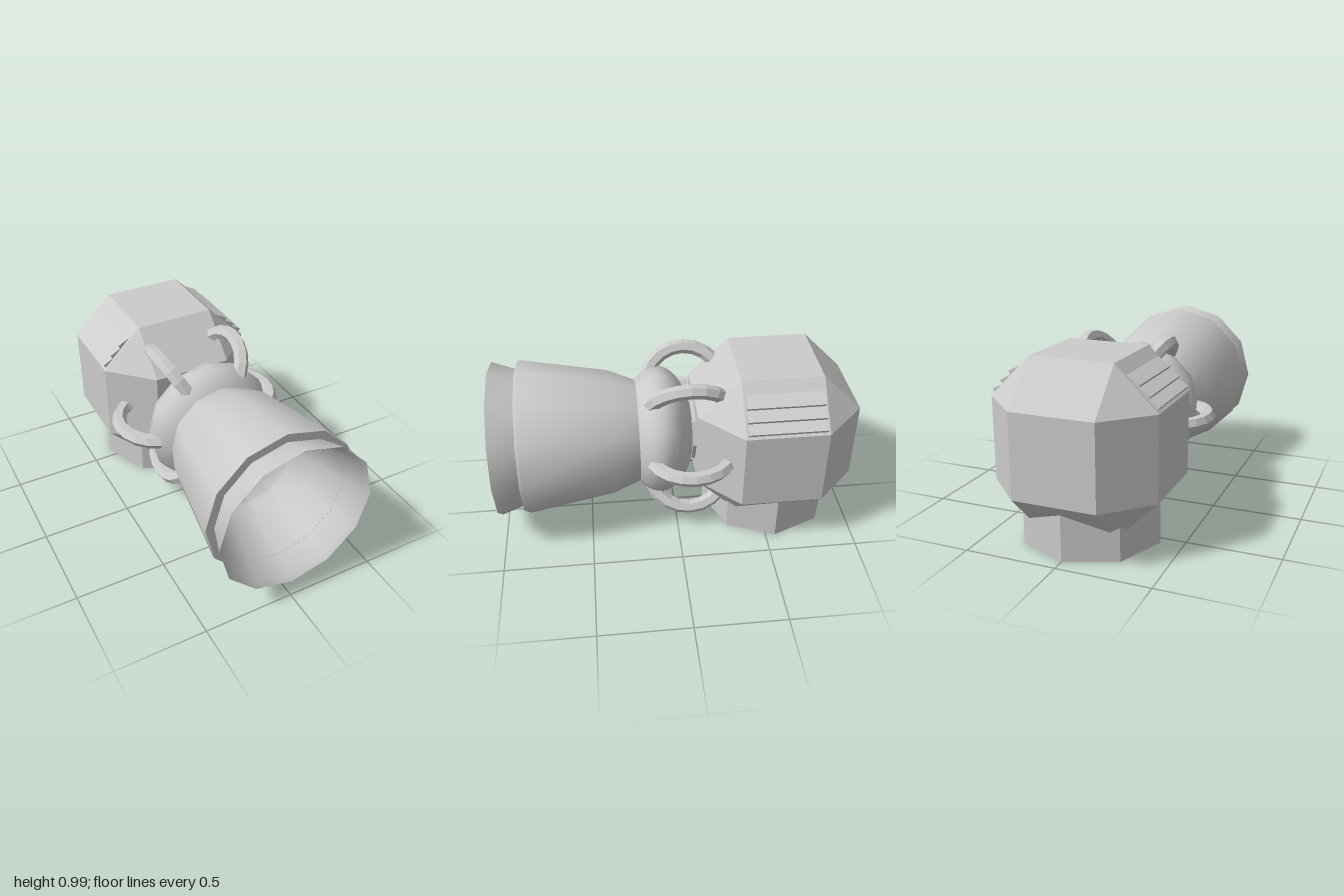
import * as THREE from 'three';
import { toCreasedNormals } from 'three/addons/utils/BufferGeometryUtils.js';
import { ConvexGeometry } from 'three/addons/geometries/ConvexGeometry.js';

const AXIS_Y = 0.54;   // height of the nozzle axis
const BODY_Z = -0.555; // centre of the housing

export function createModel() {
  const model = new THREE.Group();
  const smooth = new THREE.MeshStandardMaterial({ color: 0xcccccc, side: THREE.DoubleSide });
  const flat = new THREE.MeshStandardMaterial({ color: 0xcccccc, flatShading: true });

  const add = (name, geometry, material, parent = model) => {
    const mesh = new THREE.Mesh(geometry, material);
    mesh.name = name;
    parent.add(mesh);
    return mesh;
  };

  // Twelve-sided turned part along z; profile is [radius, z]
  const turned = (name, profile) => {
    const points = profile.map(([r, z]) => new THREE.Vector2(r, z));
    const geometry = new THREE.LatheGeometry(points, 12).rotateX(Math.PI / 2);
    add(name, toCreasedNormals(geometry, 0.65), smooth).position.y = AXIS_Y;
  };

  // Housing: a cube with all edges and corners cut off
  const a = 0.223, b = 0.445, corners = [];
  for (const sx of [-1, 1]) for (const sy of [-1, 1]) for (const sz of [-1, 1]) {
    for (const [x, y, z] of [[a, a, b], [a, b, a], [b, a, a]]) {
      corners.push(new THREE.Vector3(sx * x, sy * y, sz * z));
    }
  }
  add('housing', new ConvexGeometry(corners), flat).position.set(0, AXIS_Y, BODY_Z);

  // Octagonal foot
  add('base', new THREE.CylinderGeometry(0.378, 0.378, 0.4, 8), flat).position.set(0, 0.2, BODY_Z);

  // Slanted vent slats on both upper shoulders
  for (const side of [-1, 1]) {
    const vents = new THREE.Group();
    vents.name = side > 0 ? 'leftVents' : 'rightVents';
    for (const [x, y] of [[0.35, 0.892], [0.4, 0.842], [0.445, 0.793]]) {
      const slat = new THREE.Shape([[0, 0], [-0.075, 0.04], [-0.05, -0.005], [-0.018, -0.028]]
        .map(([dx, dy]) => new THREE.Vector2(side * (x + dx), y + dy)));
      const geometry = new THREE.ExtrudeGeometry(slat, { depth: 0.42, bevelEnabled: false });
      add('ventSlat', geometry, flat, vents).position.z = BODY_Z - 0.21;
    }
    model.add(vents);
  }

  // Short neck and squashed ball joint
  add('neck', new THREE.CylinderGeometry(0.18, 0.18, 0.2, 8).rotateX(Math.PI / 2), flat)
    .position.set(0, AXIS_Y, -0.19);
  const ball = new THREE.SphereGeometry(0.365, 12, 16).rotateX(Math.PI / 2).scale(1, 1, 0.55);
  add('ballJoint', ball, smooth).position.set(0, AXIS_Y, 0.09);

  // Outer sleeve, and the flared mouth with its bowl
  turned('nozzleSleeve', [[0.2, 0.2], [0.287, 0.2], [0.353, 0.36], [0.436, 0.84], [0.432, 0.857], [0.37, 0.857]]);
  turned('nozzleMouth', [[0.378, 0.84], [0.435, 1], [0.413, 0.975], [0.365, 0.84], [0.315, 0.67],
    [0.265, 0.54], [0.19, 0.48], [0.1, 0.45], [0, 0.44]]);

  // Six hoses looping from the ball joint to the housing
  const hoseGeometry = new THREE.TorusGeometry(0.2, 0.04, 6, 10, Math.PI)
    .rotateZ(-Math.PI / 2).rotateX(Math.PI / 2).scale(1, 1, 1.07);
  hoseGeometry.translate(0.265, 0, -0.07);
  for (let i = 0; i < 6; i++) {
    const hose = add('hose', hoseGeometry, flat);
    hose.position.y = AXIS_Y;
    hose.rotation.z = i * Math.PI / 3;
  }

  return model;
}
